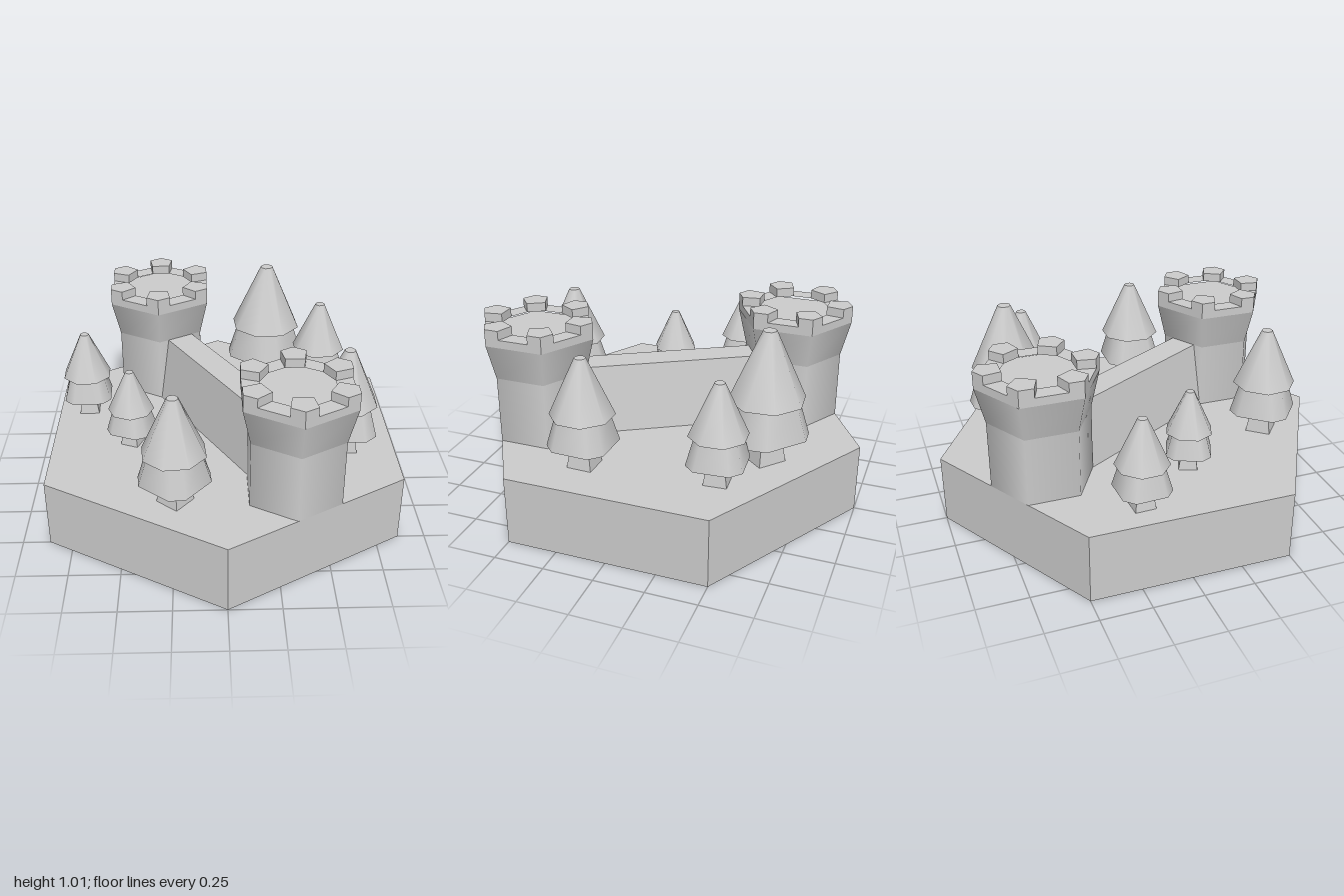
import * as THREE from 'three';

const smooth = new THREE.MeshStandardMaterial({ color: 0xcccccc });
const flat = new THREE.MeshStandardMaterial({ color: 0xcccccc, flatShading: true });
const GROUND = 0.35;

function add(parent, name, geometry, material, y = 0) {
  const mesh = new THREE.Mesh(geometry, material);
  mesh.name = name;
  mesh.position.y = y;
  parent.add(mesh);
  return mesh;
}

// Point at angle a (degrees, from +z) and radius r in the ground plane
function polar(a, r) {
  const t = THREE.MathUtils.degToRad(a);
  return new THREE.Vector2(r * Math.sin(t), r * Math.cos(t));
}

// Upright prism standing on y = 0
function prism(shape, depth) {
  return new THREE.ExtrudeGeometry(shape, { depth, bevelEnabled: false }).rotateX(-Math.PI / 2);
}

// Hexagonal tower with a flared head, sunken floor and a merlon on each corner
function tower(x, z) {
  const g = new THREE.Group();
  g.name = 'tower';
  g.position.set(x, GROUND, z);
  add(g, 'towerBody', new THREE.CylinderGeometry(0.25, 0.25, 0.34, 6), smooth, 0.17);
  add(g, 'towerFlare', new THREE.CylinderGeometry(0.294, 0.25, 0.18, 6), smooth, 0.43);

  const corners = [0, 1, 2, 3, 4, 5].map((i) => polar(i * 60, 0.294));
  const ring = new THREE.Shape(corners);
  const hole = [];
  for (let i = 0; i < 12; i++) hole.push(polar(15 + i * 30, 0.178));
  ring.holes.push(new THREE.Path(hole));
  add(g, 'towerRim', prism(ring, 0.04), flat, 0.52);

  corners.forEach((c, i) => {
    const before = c.clone().lerp(corners[(i + 5) % 6], 0.24);
    const after = c.clone().lerp(corners[(i + 1) % 6], 0.24);
    const merlon = new THREE.Shape([
      polar(i * 60 - 15, 0.178), before, c, after, polar(i * 60 + 15, 0.178),
    ]);
    add(g, 'merlon', prism(merlon, 0.045), flat, 0.56);
  });
  return g;
}

// Wall between the towers, narrower at the top
function wall() {
  const geometry = new THREE.BoxGeometry(0.25, 0.34, 0.88);
  const p = geometry.attributes.position;
  for (let i = 0; i < p.count; i++) if (p.getY(i) > 0) p.setX(i, p.getX(i) * 0.57);
  const mesh = new THREE.Mesh(geometry, flat);
  mesh.name = 'wall';
  mesh.position.y = GROUND + 0.17;
  mesh.rotation.y = Math.PI / 6;
  return mesh;
}

// Tree of height 1: tapered square trunk, chamfered square skirt, octagonal crown
const trunkGeometry = new THREE.CylinderGeometry(0.113, 0.16, 0.22, 4).rotateY(Math.PI / 4);
const crownGeometry = new THREE.CylinderGeometry(0.05, 0.284, 0.515, 8).rotateY(Math.PI / 8);
const skirtGeometry = new THREE.CylinderGeometry(0.21, 0.289, 0.28, 8).rotateY(Math.PI / 8);
const sp = skirtGeometry.attributes.position;
for (let i = 0; i < sp.count; i++) {
  const x = sp.getX(i), z = sp.getZ(i);
  if (Math.abs(x) < Math.abs(z)) sp.setX(i, x * 1.5);
  else sp.setZ(i, z * 1.5);
}

function tree(x, z, height, turn) {
  const g = new THREE.Group();
  g.name = 'tree';
  add(g, 'trunk', trunkGeometry, flat, 0.11);
  add(g, 'lowerFoliage', skirtGeometry, smooth, 0.355);
  add(g, 'upperFoliage', crownGeometry, smooth, 0.7425);
  g.position.set(x, GROUND, z);
  g.scale.setScalar(height);
  g.rotation.y = THREE.MathUtils.degToRad(turn);
  return g;
}

export function createModel() {
  const model = new THREE.Group();
  model.name = 'castleTile';

  add(model, 'base', new THREE.CylinderGeometry(1, 1, GROUND, 6), flat, GROUND / 2);
  model.add(tower(0.325, 0.563), tower(-0.325, -0.563), wall());

  // x, z, height, turn in degrees
  const trees = [
    [-0.71, -0.2, 0.45, 2],
    [-0.46, 0.13, 0.405, -22],
    [-0.235, 0.635, 0.55, -40],
    [0.61, 0.205, 0.55, -2],
    [0.543, -0.435, 0.5, 4],
    [0.26, -0.58, 0.66, -41],
  ];
  for (const t of trees) model.add(tree(...t));
  return model;
}
